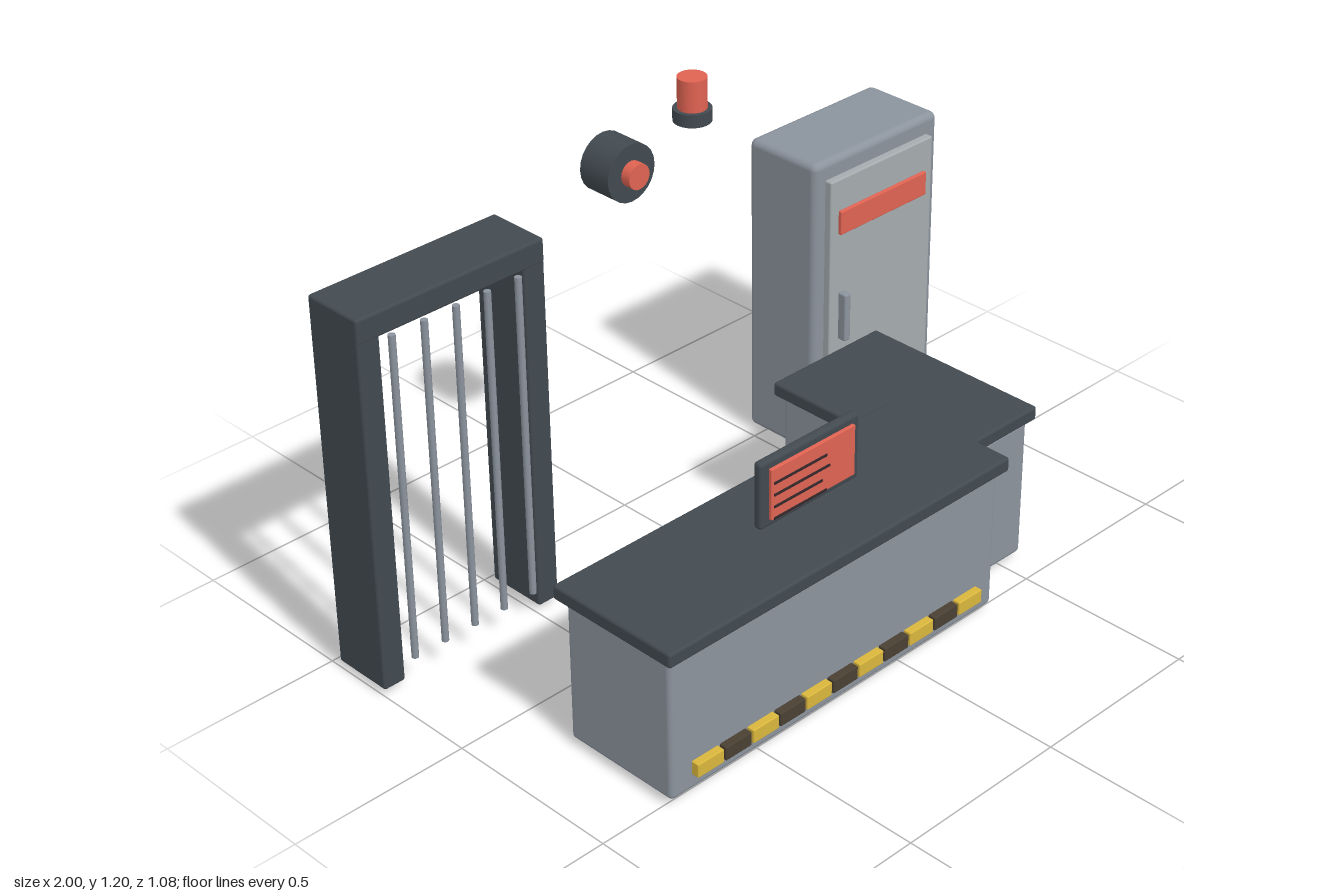
import * as THREE from 'three';
import { RoundedBoxGeometry } from 'three/addons/geometries/RoundedBoxGeometry.js';

const paint = (color) => new THREE.MeshStandardMaterial({ color });
const steel = paint(0x8b939d), pale = paint(0xa5abae), dark = paint(0x424a50);
const red = paint(0xe06352), yellow = paint(0xd9b63c), brown = paint(0x4a4033), ink = paint(0x33272a);

function add(parent, name, geometry, material) {
  const mesh = new THREE.Mesh(geometry, material);
  mesh.name = name;
  parent.add(mesh);
  return mesh;
}

// Box given by its limits on each axis, with softened edges when r > 0
function block(parent, name, [x0, x1], [y0, y1], [z0, z1], material, r = 0) {
  const size = [x1 - x0, y1 - y0, z1 - z0];
  const geometry = r > 0 ? new RoundedBoxGeometry(...size, 3, r) : new THREE.BoxGeometry(...size);
  const mesh = add(parent, name, geometry, material);
  mesh.position.set((x0 + x1) / 2, (y0 + y1) / 2, (z0 + z1) / 2);
  return mesh;
}

function rod(parent, name, r, length, [x, y, z], material, sides = 20) {
  const mesh = add(parent, name, new THREE.CylinderGeometry(r, r, length, sides), material);
  mesh.position.set(x, y, z);
  return mesh;
}

function group(parent, name) {
  const g = new THREE.Group();
  g.name = name;
  parent.add(g);
  return g;
}

function buildCounter(root) {
  const g = group(root, 'counter');
  block(g, 'mainBody', [-0.8, 0.335], [0.02, 0.425], [0.17, 0.52], steel, 0.014);
  block(g, 'returnBody', [0.22, 0.568], [0.02, 0.425], [-0.115, 0.42], steel, 0.014);
  block(g, 'mainTop', [-0.818, 0.356], [0.422, 0.463], [0.145, 0.541], dark, 0.008);
  block(g, 'returnTop', [0.2, 0.592], [0.422, 0.462], [-0.133, 0.43], dark, 0.008);

  // Hazard strip along the foot of the front
  for (let i = 0; i < 11; i++) {
    const x = -0.691 + i * 0.0918;
    block(g, 'hazardStripe', [x - 0.043, x + 0.043], [0.066, 0.105], [0.518, 0.542], i % 2 ? brown : yellow, 0.003);
  }
}

function buildMonitor(root) {
  const g = group(root, 'monitor');
  block(g, 'stand', [-0.207, -0.16], [0.455, 0.566], [0.274, 0.321], steel, 0.003);
  block(g, 'casing', [-0.354, -0.014], [0.495, 0.682], [0.343, 0.369], dark, 0.01);
  block(g, 'screen', [-0.326, -0.037], [0.517, 0.66], [0.366, 0.378], red, 0.003);
  [0.18, 0.19, 0.165, 0.18].forEach((length, i) => {
    const y = 0.62 - i * 0.033;
    block(g, 'screenLine', [-0.318, -0.318 + length], [y - 0.003, y + 0.003], [0.376, 0.381], ink);
  });
}

function buildLocker(root) {
  const g = group(root, 'locker');
  block(g, 'cabinet', [0.519, 1], [0.021, 0.914], [-0.541, -0.294], steel, 0.02);
  block(g, 'door', [0.558, 0.957], [0.083, 0.861], [-0.298, -0.272], pale, 0.005);
  block(g, 'signPlate', [0.588, 0.925], [0.698, 0.768], [-0.274, -0.262], red, 0.003);
  block(g, 'handle', [0.59, 0.613], [0.376, 0.52], [-0.272, -0.244], steel, 0.005);
}

function buildCellGate(root) {
  const g = group(root, 'cellGate');
  for (const x of [-1, -0.494])
    block(g, 'post', [x, x + 0.066], [0.021, 1.066], [-0.468, -0.289], dark, 0.008);
  block(g, 'lintel', [-1, -0.428], [1, 1.068], [-0.468, -0.288], dark, 0.008);
  for (let i = 0; i < 5; i++)
    rod(g, 'bar', 0.0095, 0.917, [-0.907 + i * 0.0965, 0.541, -0.28], steel, 12);
}

function buildAlarms(root) {
  // Round horn facing forward
  const horn = group(root, 'alarmHorn');
  horn.position.set(-0.025, 1.05, 0);
  rod(horn, 'hornBody', 0.08, 0.103, [0, 0, -0.4645], dark, 24).rotation.x = Math.PI / 2;
  rod(horn, 'hornCentre', 0.035, 0.035, [0, 0, -0.401], red, 20).rotation.x = Math.PI / 2;

  // Beacon: collar and coloured dome
  const beacon = group(root, 'beacon');
  rod(beacon, 'collar', 0.052, 0.036, [0.25, 1.101, -0.476], dark, 24);
  rod(beacon, 'lamp', 0.04, 0.09, [0.25, 1.161, -0.476], red, 20);
}

function buildCuffs(root) {
  // Pair of tilted rings joined by small links, mostly hidden under the counter
  const g = group(root, 'cuffs');
  for (const side of [-1, 1]) {
    const ring = add(g, 'cuffRing', new THREE.TorusGeometry(0.045, 0.008, 8, 24), steel);
    ring.position.set(-0.66 + side * 0.05, 0.027, 0.385 - side * 0.06);
    ring.rotation.set(Math.PI / 2 + side * 0.3, side * 0.2, 0);
  }
  for (let i = -1; i <= 1; i++) {
    const link = add(g, 'cuffLink', new THREE.TorusGeometry(0.009, 0.003, 6, 12), steel);
    link.position.set(-0.66 + i * 0.012, 0.02, 0.385 - i * 0.014);
    link.rotation.x = i ? Math.PI / 2 : 0;
  }
}

export function createModel() {
  const root = new THREE.Group();
  root.name = 'policeFrontDesk';
  buildCounter(root);
  buildMonitor(root);
  buildLocker(root);
  buildCellGate(root);
  buildAlarms(root);
  buildCuffs(root);
  return root;
}
